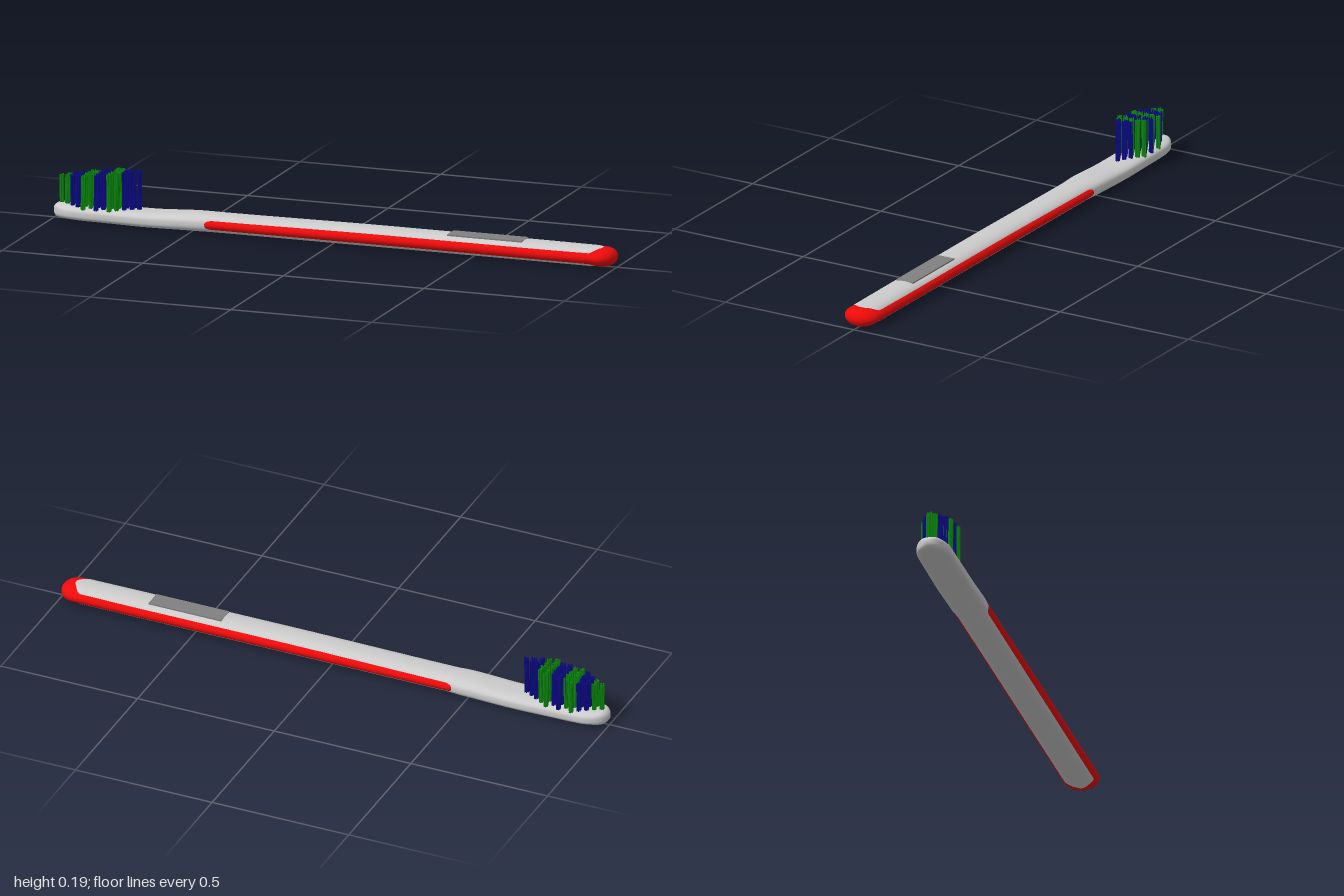
import * as THREE from 'three';
import { mergeGeometries } from 'three/addons/utils/BufferGeometryUtils.js';

const lerp = THREE.MathUtils.lerp;

// Interpolates stations [x, halfWidth, bottom, top, roundness] at x
function sample(stations, x) {
  let i = 0;
  while (i < stations.length - 2 && x > stations[i + 1][0]) i++;
  const a = stations[i], b = stations[i + 1];
  const t = THREE.MathUtils.smoothstep(x, a[0], b[0]);
  return a.map((v, k) => lerp(v, b[k], t));
}

// Quarter-ellipse rounding near an end
const round = (d, r) => (d >= r ? 1 : Math.sqrt(Math.max(0, 1 - (1 - d / r) ** 2)));

// Lofts superellipse sections along x; each cap is [plan radius, side radius]
function loft(stations, capA, capB, sides = 48) {
  const x0 = stations[0][0], x1 = stations[stations.length - 1][0];
  const xs = [];
  const nose = 0.12, n = 24;
  for (let i = 0; i <= n; i++) xs.push(x0 + nose * (i / n) ** 2.5);
  for (let i = 1; i < 60; i++) xs.push(lerp(x0 + nose, x1 - nose, i / 60));
  for (let i = n; i >= 0; i--) xs.push(x1 - nose * (i / n) ** 2.5);
  const pos = [], index = [];
  const power = (v, e) => Math.sign(v) * Math.abs(v) ** e;
  xs.forEach((x, i) => {
    const [, w, lo, hi, k] = sample(stations, x);
    const a = w * round(x - x0, capA[0]) * round(x1 - x, capB[0]);
    const b = (hi - lo) / 2 * round(x - x0, capA[1]) * round(x1 - x, capB[1]);
    for (let j = 0; j < sides; j++) {
      const t = j / sides * Math.PI * 2;
      pos.push(x, (lo + hi) / 2 + b * power(Math.sin(t), 2 / k), a * power(Math.cos(t), 2 / k));
      if (i === xs.length - 1) continue;
      const p = i * sides + j, q = i * sides + (j + 1) % sides;
      index.push(p, p + sides, q + sides, p, q + sides, q);
    }
  });
  const g = new THREE.BufferGeometry();
  g.setAttribute('position', new THREE.Float32BufferAttribute(pos, 3));
  g.setIndex(index);
  g.computeVertexNormals();
  return g;
}

// Small seeded generator
let seed = 7;
function rand() {
  seed = (seed * 16807) % 2147483647;
  return seed / 2147483647;
}

// One tuft: a bundle of thin, slightly leaning filaments
function tuft(x, z, top) {
  const list = [];
  for (let i = 0; i < 8; i++) {
    const a = i / 7 * Math.PI * 2, r = i === 7 ? 0 : 0.0062;
    const h = top - 0.045 - rand() * 0.006;
    const g = new THREE.CylinderGeometry(0.0023, 0.0023, h, 6);
    g.translate(0, h / 2, 0);
    g.rotateZ((rand() - 0.5) * 0.05);
    g.rotateX((rand() - 0.5) * 0.04);
    g.translate(x + r * Math.cos(a), 0.045, z + r * Math.sin(a));
    list.push(g);
  }
  return list;
}

export function createModel() {
  seed = 7;
  const group = new THREE.Group();
  const add = (name, geometry, color) => {
    const mesh = new THREE.Mesh(geometry, new THREE.MeshStandardMaterial({ color }));
    mesh.name = name;
    group.add(mesh);
  };

  // Head, neck and handle core in one smooth body
  add('body', loft([
    [-1, 0.058, 0.006, 0.055, 3],
    [-0.85, 0.06, 0.002, 0.053, 3],
    [-0.67, 0.061, 0, 0.052, 3],
    [-0.47, 0.061, 0.001, 0.062, 2.6],
    [-0.43, 0.056, 0.001, 0.063, 2.5],
    [0.2, 0.056, 0.001, 0.067, 2.5],
    [0.7, 0.056, 0.001, 0.067, 2.5],
    [0.955, 0.056, 0.001, 0.066, 2.5],
  ], [0.09, 0.025], [0.04, 0.004]), 0xcccccc);

  // Soft grip that surfaces along both sides and wraps the tail
  add('grip', loft([
    [-0.46, 0.062, 0.004, 0.06, 2],
    [0.2, 0.062, 0.003, 0.065, 2],
    [1, 0.062, 0.002, 0.065, 2],
  ], [0.02, 0.03], [0.06, 0.04]), 0xee0a0a);

  // Inlaid plate on top of the handle
  const plate = new THREE.BoxGeometry(0.266, 0.012, 0.064);
  plate.translate(0.54, 0.0622, 0);
  add('handlePlate', plate, 0x808080);

  // Staggered tufts inside the head outline, in alternating colour bands
  const bands = { greenBristles: [], blueBristles: [] };
  const pattern = 'ggbbggbbggbbb';
  for (let c = 0; c < 13; c++) {
    const x = -0.972 + c * 0.0229;
    const limit = 0.05 * Math.min(1, 0.35 + c * 0.25, 0.25 + (12 - c) * 0.25);
    const count = c % 2 ? 4 : 5;
    for (let r = 0; r < count; r++) {
      const z = (r - (count - 1) / 2) * 0.0235;
      if (Math.abs(z) > limit) continue;
      const key = pattern[c] === 'g' ? 'greenBristles' : 'blueBristles';
      bands[key].push(...tuft(x, z, lerp(0.152, 0.188, c / 12)));
    }
  }
  add('greenBristles', mergeGeometries(bands.greenBristles), 0x0a8a0a);
  add('blueBristles', mergeGeometries(bands.blueBristles), 0x0a0a8a);

  return group;
}
